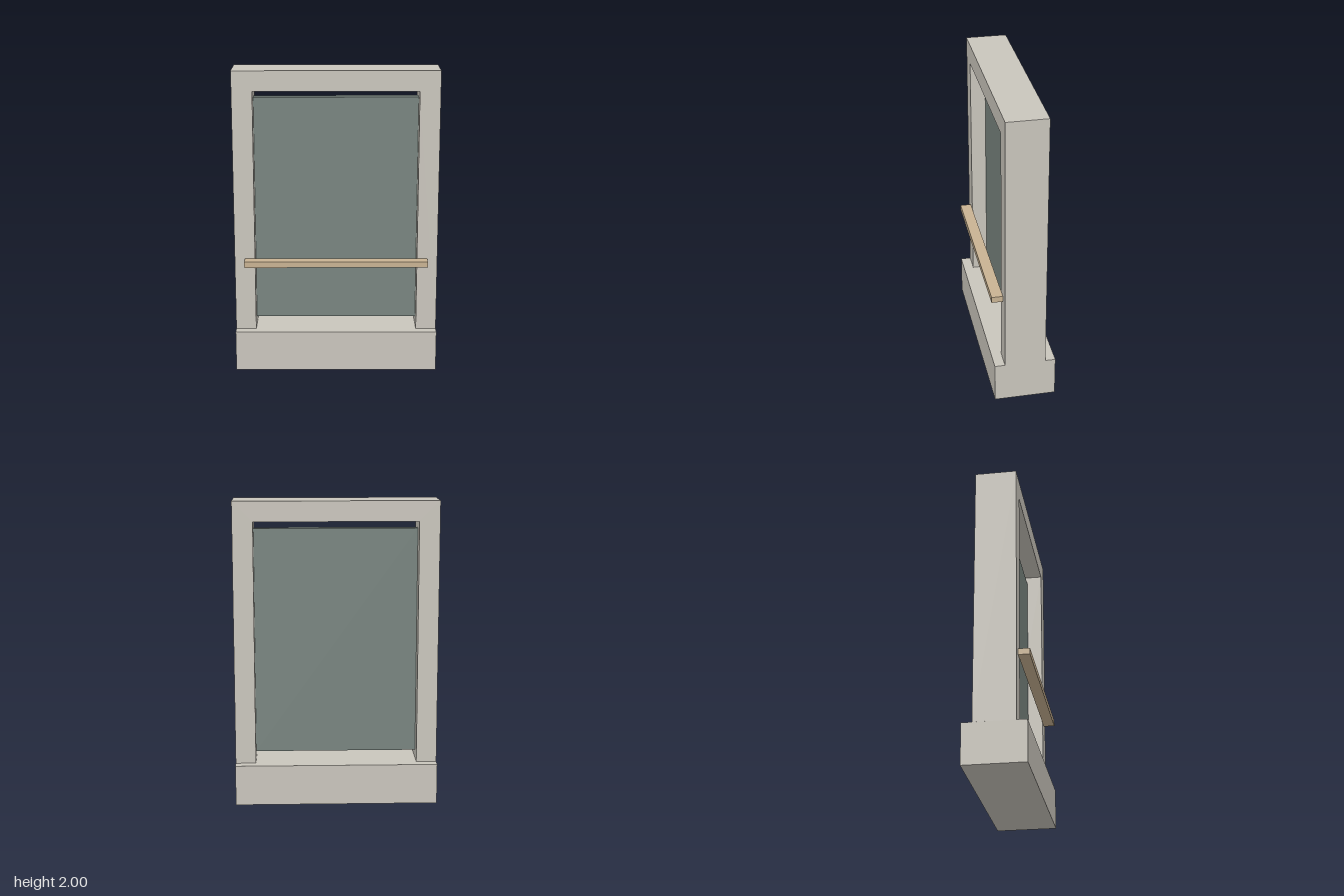
import * as THREE from 'three';

const concrete = new THREE.MeshStandardMaterial({ name: 'concrete', color: 0xc9c5bc });
const glass = new THREE.MeshStandardMaterial({ name: 'greyGreenGlass', color: 0x78847f });
const wood = new THREE.MeshStandardMaterial({ name: 'lightWood', color: 0xc8b292 });

const MID_Z = -0.0035; // centre plane of the wall parts

// Box given by its size and its minimum y and centre z
function box(name, material, w, h, d, bottom, z) {
  const mesh = new THREE.Mesh(new THREE.BoxGeometry(w, h, d), material);
  mesh.name = name;
  mesh.position.set(0, bottom + h / 2, z);
  return mesh;
}

export function createModel() {
  const group = new THREE.Group();
  group.name = 'windowFrame';

  // Wide plinth forming the sill
  group.add(box('base', concrete, 1.333, 0.267, 0.4, 0, MID_Z));

  // Two jambs and lintel as one arch, standing on the base
  const outer = 0.6667, inner = 0.5333, foot = 0.267, under = 1.867, depth = 0.267;
  const arch = new THREE.Shape([
    [-outer, foot], [-inner, foot], [-inner, under], [inner, under],
    [inner, foot], [outer, foot], [outer, 2], [-outer, 2],
  ].map(([x, y]) => new THREE.Vector2(x, y)));
  const frame = new THREE.Mesh(
    new THREE.ExtrudeGeometry(arch, { depth, bevelEnabled: false }), concrete);
  frame.name = 'frame';
  frame.position.z = MID_Z - depth / 2;
  group.add(frame);

  // Pane between the jambs, with a gap above and below
  group.add(box('pane', glass, inner * 2, 1.495, 0.067, 0.32, MID_Z));

  // Rail across the front
  group.add(box('rail', wood, 1.2, 0.04, 0.073, 0.718, 0.1667));

  return group;
}
